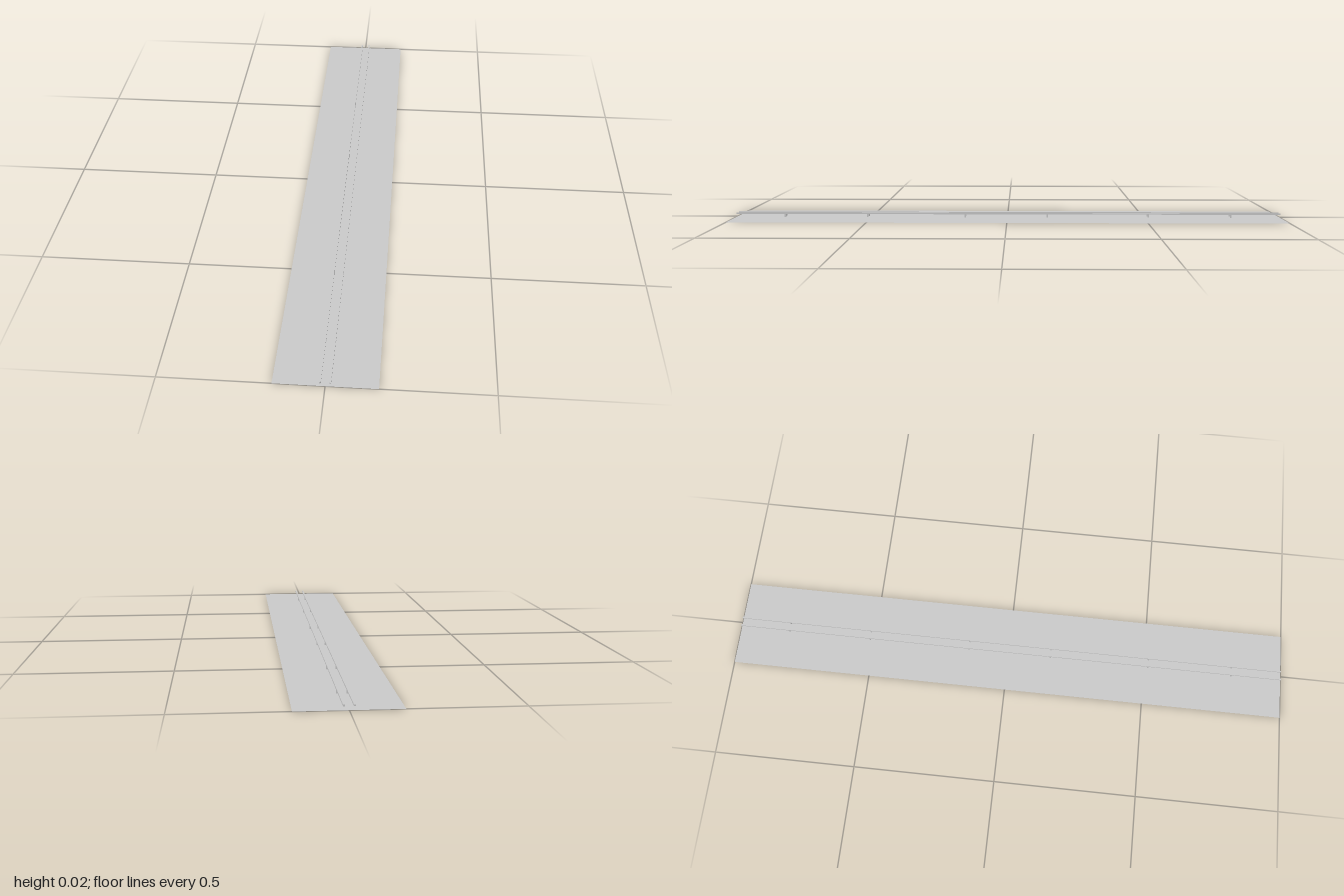
import * as THREE from 'three';

const HALF_WIDTH = 0.157;
const RAIL_X = 0.015;
const RAIL_SIZE = 0.005;
const RAIL_TOP = 0.016;

export function createModel() {
  const group = new THREE.Group();
  const metal = new THREE.MeshStandardMaterial({ color: 0xcccccc, flatShading: true });
  const sheet = new THREE.MeshStandardMaterial({ color: 0xcccccc, side: THREE.DoubleSide });

  const box = (name, w, h, d, x, y, z) => {
    const mesh = new THREE.Mesh(new THREE.BoxGeometry(w, h, d), metal);
    mesh.name = name;
    mesh.position.set(x, y, z);
    group.add(mesh);
  };

  // Thin ground strip
  const strip = new THREE.Mesh(new THREE.PlaneGeometry(HALF_WIDTH * 2, 2), sheet);
  strip.name = 'groundStrip';
  strip.rotation.x = -Math.PI / 2;
  group.add(strip);

  // Two long rails, each carried by a row of short posts
  const railBottom = RAIL_TOP - RAIL_SIZE;
  for (const [side, x] of [['left', RAIL_X], ['right', -RAIL_X]]) {
    box(side + 'Rail', RAIL_SIZE, RAIL_SIZE, 2, x, RAIL_TOP - RAIL_SIZE / 2, 0);
    for (const z of [0.82, 0.515, 0.155, -0.147, -0.517, -0.82]) {
      box(side + 'Post', RAIL_SIZE, railBottom, RAIL_SIZE, x, railBottom / 2, z);
    }
  }
  return group;
}
